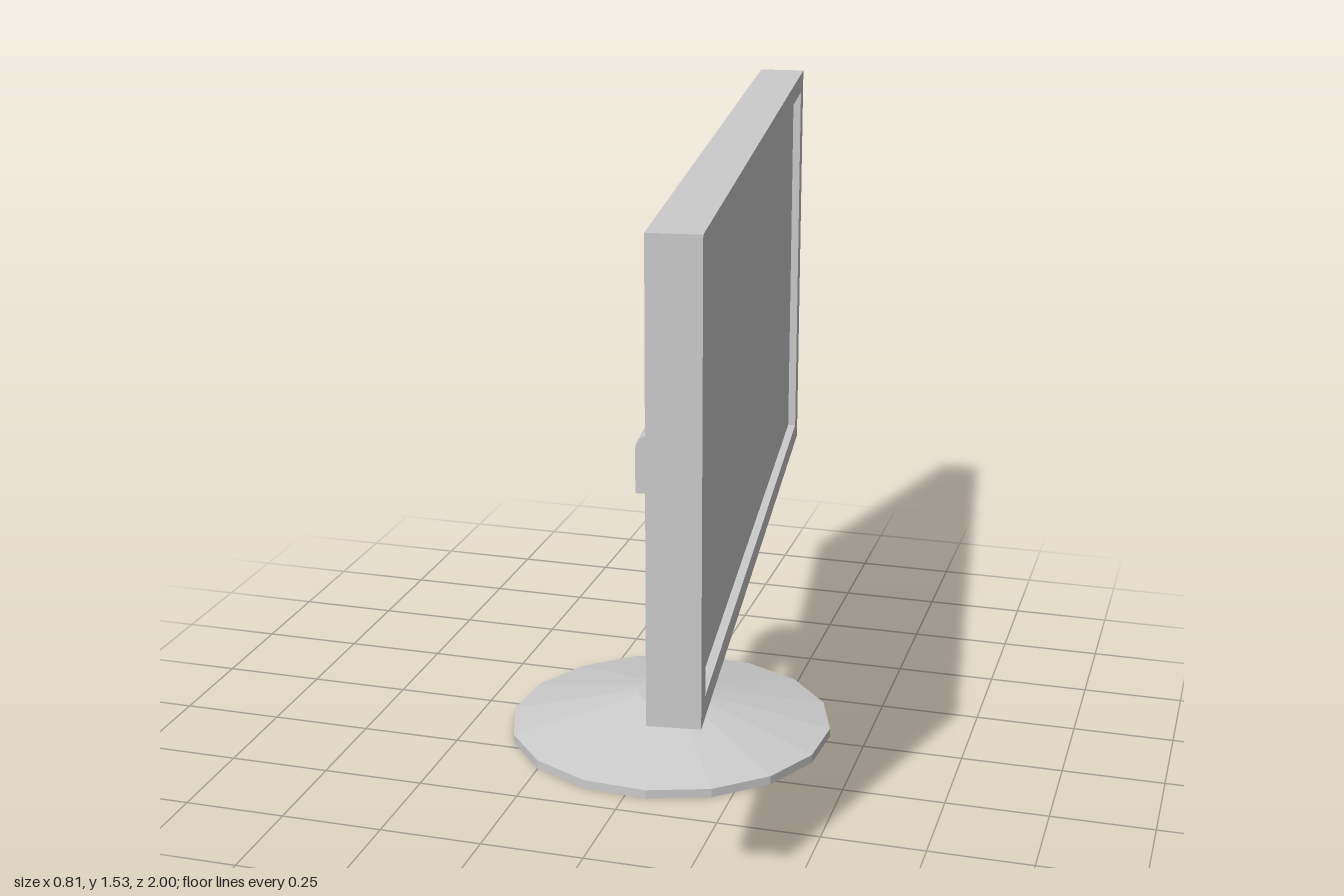
import * as THREE from 'three';

const material = new THREE.MeshStandardMaterial({ color: 0xcccccc, flatShading: true });

function addPart(parent, name, geometry, x = 0, y = 0, z = 0) {
  const mesh = new THREE.Mesh(geometry, material);
  mesh.name = name;
  mesh.position.set(x, y, z);
  parent.add(mesh);
  return mesh;
}

// Rectangle outline centred on the origin
function rectangle(Type, w, h) {
  const r = new Type();
  r.moveTo(-w / 2, -h / 2);
  r.lineTo(w / 2, -h / 2);
  r.lineTo(w / 2, h / 2);
  r.lineTo(-w / 2, h / 2);
  r.closePath();
  return r;
}

export function createModel() {
  const model = new THREE.Group();
  model.name = 'monitor';

  // The whole monitor is turned slightly about its stand; the screen faces local +x
  const body = new THREE.Group();
  body.name = 'turnedMonitor';
  body.rotation.y = 0.128;
  body.position.z = 0.02;
  model.add(body);

  // Shallow conical foot
  const foot = [[0, 0], [0.41, 0], [0.41, 0.022], [0.085, 0.097], [0, 0.097]]
    .map(([r, y]) => new THREE.Vector2(r, y));
  addPart(body, 'base', new THREE.LatheGeometry(foot, 16));

  // Octagonal post
  addPart(body, 'post', new THREE.CylinderGeometry(0.06, 0.06, 0.59, 8), 0, 0.385, 0);

  // Block on top of the post, rounded along its upper rear edge
  const s = 0.077, top = 0.81, bottom = 0.66, r = 0.035;
  const block = new THREE.Shape();
  block.moveTo(-s, bottom);
  block.lineTo(s, bottom);
  block.lineTo(s, top);
  block.lineTo(-s + r, top);
  block.absarc(-s + r, top - r, r, Math.PI / 2, Math.PI, false);
  block.closePath();
  addPart(body, 'standHead',
    new THREE.ExtrudeGeometry(block, { depth: 2 * s, bevelEnabled: false, curveSegments: 4 }), 0, 0, -s);

  // Slanted arm from the block into the back of the screen
  const arm = addPart(body, 'tiltArm', new THREE.CylinderGeometry(0.058, 0.058, 0.177, 8), 0.0875, 0.8075, 0);
  arm.rotation.z = -Math.PI / 4;

  // Screen housing with a raised bezel around the recessed display
  const width = 2.0, height = 1.06, midY = 1.005, back = 0.1, display = 0.197, front = 0.217;
  addPart(body, 'screenHousing', new THREE.BoxGeometry(display - back, height, width),
    (back + display) / 2, midY, 0);
  const frame = rectangle(THREE.Shape, width, height);
  frame.holes.push(rectangle(THREE.Path, 1.88, 0.96));
  const bezel = new THREE.ExtrudeGeometry(frame, { depth: front - display, bevelEnabled: false });
  bezel.rotateY(Math.PI / 2);
  addPart(body, 'bezel', bezel, display, midY, 0);

  return model;
}
